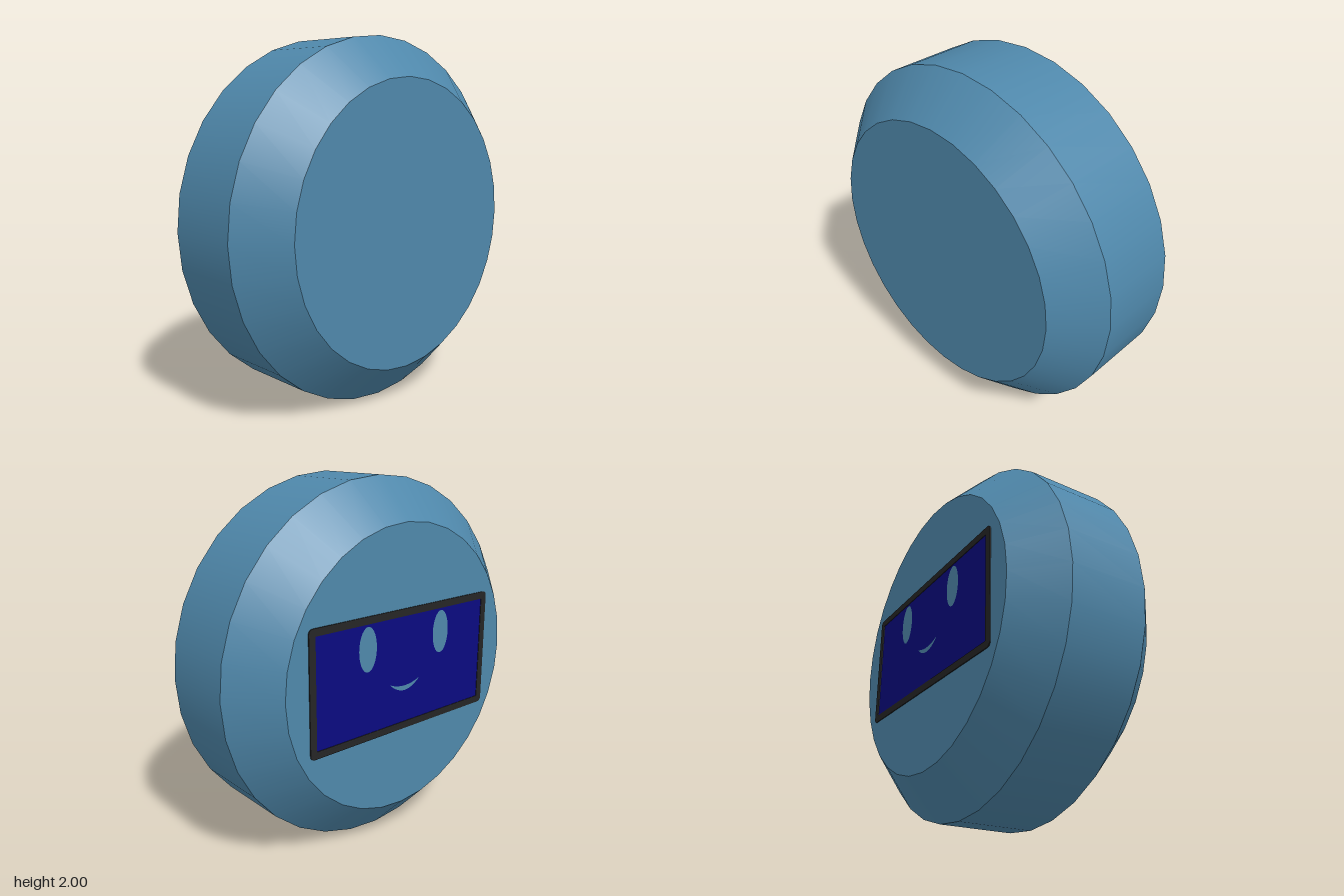
import * as THREE from 'three';

const SIDES = 32, HALF = 0.435, RIM = 0.22, R = 1, FACE_R = 0.78;

function mat(name, color) {
  const m = new THREE.MeshStandardMaterial({ color });
  m.name = name;
  return m;
}

// Rectangle path with rounded corners, centred on the origin
function roundedRect(path, w, h, r) {
  const x = w / 2 - r, y = h / 2 - r;
  path.absarc(x, y, r, 0, Math.PI / 2);
  path.absarc(-x, y, r, Math.PI / 2, Math.PI);
  path.absarc(-x, -y, r, Math.PI, Math.PI * 1.5);
  path.absarc(x, -y, r, Math.PI * 1.5, Math.PI * 2);
  path.closePath();
  return path;
}

export function createModel() {
  const root = new THREE.Group();
  root.name = 'roundRobotHead';
  const blue = mat('bodyBlue', 0x4f88ab);
  const navy = mat('screenNavy', 0x0a0a80);
  const black = mat('frameBlack', 0x252525);

  const add = (parent, name, geometry, material, z = 0) => {
    const mesh = new THREE.Mesh(geometry, material);
    mesh.name = name;
    mesh.position.z = z;
    parent.add(mesh);
    return mesh;
  };

  // Body: a drum lying along z, with a wide chamfer and a flat disc at each end
  const body = new THREE.Group();
  body.name = 'body';
  body.position.y = 1;
  root.add(body);
  add(body, 'rim', new THREE.CylinderGeometry(R, R, RIM * 2, SIDES, 1, true).rotateX(Math.PI / 2), blue);
  for (const [side, turn] of [['front', 0], ['back', Math.PI]]) {
    const end = new THREE.Group();
    end.name = side + 'End';
    end.rotation.y = turn;
    body.add(end);
    const chamfer = new THREE.CylinderGeometry(FACE_R, R, HALF - RIM, SIDES, 1, true).rotateX(Math.PI / 2);
    add(end, side + 'Chamfer', chamfer, blue, (HALF + RIM) / 2);
    add(end, side + 'Disc', new THREE.CircleGeometry(FACE_R, SIDES), blue, HALF);
  }

  // Display on the back disc, built facing +z and turned round
  const display = new THREE.Group();
  display.name = 'display';
  display.position.set(0, 1, -HALF);
  display.rotation.y = Math.PI;
  root.add(display);

  const frame = roundedRect(new THREE.Shape(), 1.28, 0.67, 0.025);
  frame.holes.push(roundedRect(new THREE.Path(), 1.2, 0.59, 0.004));
  add(display, 'frame', new THREE.ExtrudeGeometry(frame, { depth: 0.005, bevelEnabled: false, curveSegments: 4 }), black);
  add(display, 'screen', new THREE.PlaneGeometry(1.2, 0.59), navy, 0.002);

  // Oval eyes
  for (const [name, x] of [['leftEye', -0.266], ['rightEye', 0.266]]) {
    const eye = add(display, name, new THREE.CircleGeometry(1, 28), blue, 0.004);
    eye.scale.set(0.06, 0.12, 1);
    eye.position.set(x, 0.163, 0.004);
  }

  // Crescent smile
  const smile = new THREE.Shape();
  smile.moveTo(-0.11, -0.063);
  smile.quadraticCurveTo(0, -0.165, 0.11, -0.063);
  smile.quadraticCurveTo(0, -0.112, -0.11, -0.063);
  add(display, 'smile', new THREE.ShapeGeometry(smile, 14), blue, 0.004);

  return root;
}
